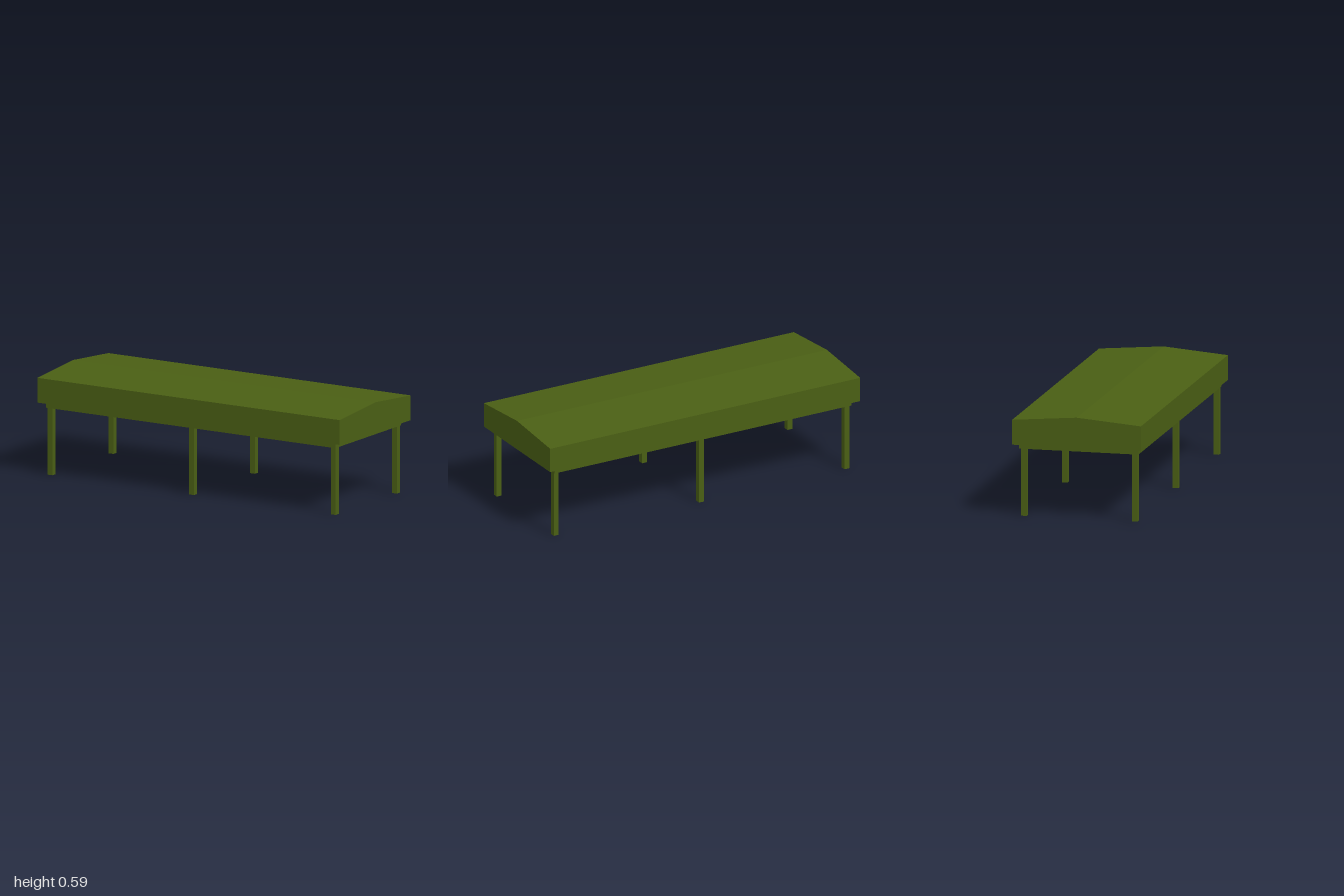
import * as THREE from 'three';

const paint = new THREE.MeshStandardMaterial({ color: 0x4a5f14, flatShading: true });

function addMesh(parent, name, geometry, x = 0, y = 0, z = 0) {
  const mesh = new THREE.Mesh(geometry, paint);
  mesh.name = name;
  mesh.position.set(x, y, z);
  parent.add(mesh);
  return mesh;
}

export function createModel() {
  const model = new THREE.Group();
  model.name = 'canopy';

  // Roof: shallow gable section with deep fascia, extruded along x
  const length = 2, halfDepth = 0.371;
  const eaveBottom = 0.413, eaveTop = 0.555, ridge = 0.586;
  const section = new THREE.Shape([
    new THREE.Vector2(-halfDepth, eaveBottom),
    new THREE.Vector2(halfDepth, eaveBottom),
    new THREE.Vector2(halfDepth, eaveTop),
    new THREE.Vector2(0, ridge),
    new THREE.Vector2(-halfDepth, eaveTop),
  ]);
  const roof = new THREE.ExtrudeGeometry(section, { depth: length, bevelEnabled: false });
  roof.translate(0, 0, -length / 2).rotateY(Math.PI / 2);
  addMesh(model, 'roof', roof);

  // Ceiling slab: set in from the fascia and hanging just below it
  const slabBottom = 0.384;
  const slabHeight = eaveBottom - slabBottom;
  addMesh(model, 'ceilingSlab', new THREE.BoxGeometry(1.915, slabHeight, 0.688),
    -0.002, slabBottom + slabHeight / 2, 0.002);

  // Posts: two rows of three
  const postGeometry = new THREE.BoxGeometry(0.032, slabBottom, 0.033);
  const posts = new THREE.Group();
  posts.name = 'posts';
  model.add(posts);
  for (const [row, z] of [['front', 0.323], ['back', -0.315]]) {
    for (const [place, x] of [['Right', -0.937], ['Middle', 0], ['Left', 0.938]]) {
      addMesh(posts, `${row}${place}Post`, postGeometry, x, slabBottom / 2, z);
    }
  }

  return model;
}
